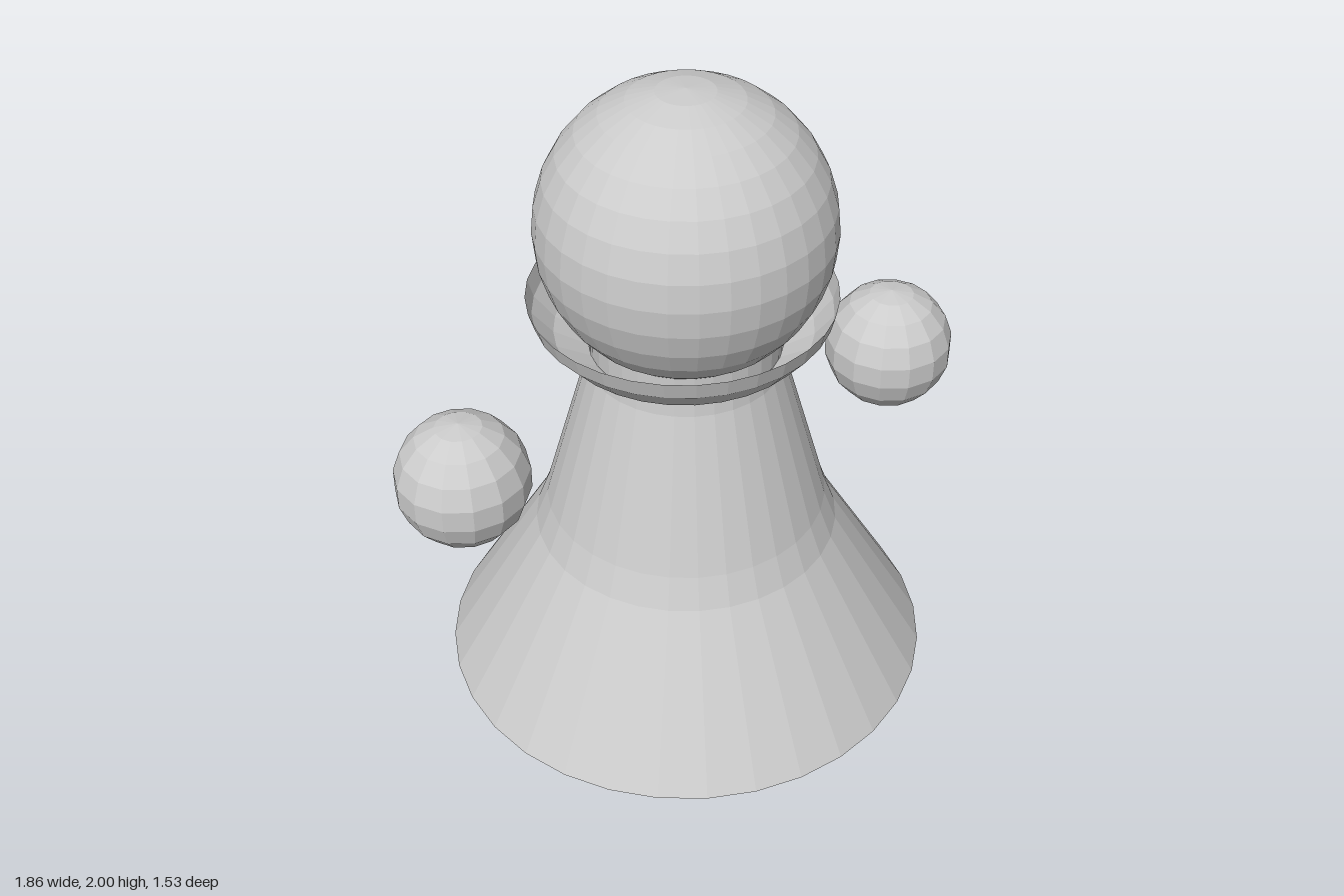
import * as THREE from 'three';

const SEGMENTS = 30;
const GAP = Math.PI / 8; // opening at the back of the garments

const solid = new THREE.MeshStandardMaterial({ color: 0xcccccc, flatShading: true });
const cloth = new THREE.MeshStandardMaterial({ color: 0xcccccc, flatShading: true, side: THREE.DoubleSide });

function part(name, geometry, material, x = 0, y = 0, z = 0) {
  const mesh = new THREE.Mesh(geometry, material);
  mesh.name = name;
  mesh.position.set(x, y, z);
  return mesh;
}

// Thin turned shell, slit open along the back
function openShell(profile) {
  const points = profile.map(([r, y]) => new THREE.Vector2(r, y));
  return new THREE.LatheGeometry(points, SEGMENTS, Math.PI + GAP / 2, Math.PI * 2 - GAP);
}

export function createModel() {
  const group = new THREE.Group();
  group.name = 'robedFigure';

  // Head and inner body
  group.add(part('head', new THREE.SphereGeometry(0.44, 32, 16), solid, 0, 1.56, 0));
  group.add(part('body', new THREE.CylinderGeometry(0.285, 0.285, 1.16, 32), solid, 0, 0.67, 0));

  // Cloak
  const cloak = openShell([[0.77, 0], [0.475, 0.5], [0.437, 0.6], [0.297, 1.1], [0.29, 1.16]]);
  group.add(part('cloak', cloak, cloth));

  // Collar, leaning slightly to one side as it rises
  const collar = openShell([[0.29, 1.16], [0.385, 1.225], [0.442, 1.3], [0.457, 1.36]]);
  const pos = collar.attributes.position;
  for (let i = 0; i < pos.count; i++) {
    const lean = 0.023 * Math.sqrt(Math.max(0, (pos.getY(i) - 1.16) / 0.2));
    pos.setX(i, pos.getX(i) - lean);
    pos.setZ(i, pos.getZ(i) + lean);
  }
  collar.computeVertexNormals();
  group.add(part('collar', collar, cloth));

  // Floating hands
  for (const [name, side] of [['leftHand', 1], ['rightHand', -1]]) {
    group.add(part(name, new THREE.SphereGeometry(0.204, 14, 9), solid, side * 0.73, 0.9, -0.005));
  }

  return group;
}
